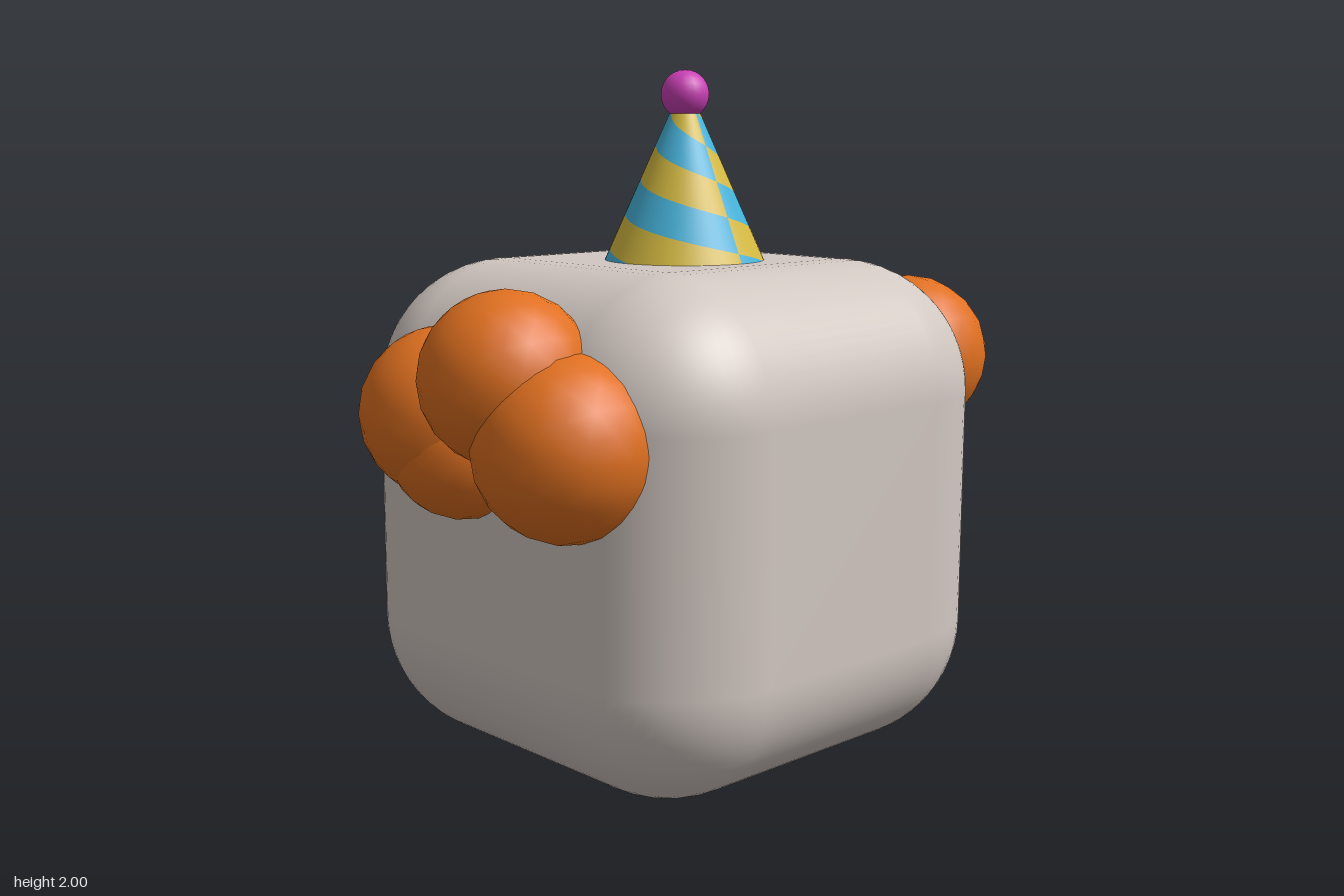
import * as THREE from 'three';
import { RoundedBoxGeometry } from 'three/addons/geometries/RoundedBoxGeometry.js';

const mat = (name, color, side = THREE.FrontSide) => {
  const m = new THREE.MeshStandardMaterial({ color, side });
  m.name = name;
  return m;
};

// Head block: centre, half size and corner radius
const C = new THREE.Vector3(0.12, 0.737, -0.02);
const HALF = 0.721, RAD = 0.38;

// Depth of the rounded block at an offset (a, b) from the centre of a face
function faceDepth(a, b) {
  const e = (v) => Math.max(0, Math.abs(v) - (HALF - RAD));
  return HALF - RAD + Math.sqrt(Math.max(0, RAD * RAD - e(a) ** 2 - e(b) ** 2));
}

// Lay a flat geometry (drawn in x, y) onto one face of the head
function paint(geo, face, lift = 0.005) {
  const p = geo.attributes.position;
  for (let i = 0; i < p.count; i++) {
    const u = p.getX(i), v = p.getY(i);
    if (face === 'face') p.setXYZ(i, C.x - faceDepth(v - C.y, u - C.z) - lift, v, u);
    if (face === 'side') p.setXYZ(i, -u, v, C.z - faceDepth(-u - C.x, v - C.y) - lift);
    if (face === 'under') p.setXYZ(i, u, C.y - faceDepth(u - C.x, v - C.z) - lift, v);
  }
  geo.computeVertexNormals();
  return geo;
}

// Ribbon of constant width along a short path of [u, v] points
function ribbon(points, width) {
  const curve = new THREE.CatmullRomCurve3(points.map(([u, v]) => new THREE.Vector3(u, v, 0)));
  const n = 16, geo = new THREE.PlaneGeometry(width, 1, 1, n), p = geo.attributes.position;
  for (let i = 0; i <= n; i++) {
    const c = curve.getPoint(1 - i / n), t = curve.getTangent(1 - i / n);
    const taper = i === 0 || i === n ? 0.4 : 1;
    for (let j = 0; j < 2; j++) {
      const w = (j - 0.5) * width * taper;
      p.setXYZ(i * 2 + j, c.x + t.y * w, c.y - t.x * w, 0);
    }
  }
  return geo;
}

export function createModel() {
  const group = new THREE.Group();
  const skin = mat('skin grey', 0xd2c8c2);
  const orange = mat('hair orange', 0xe07020);
  const red = mat('nose red', 0xdc1f2d);
  const black = mat('black', 0x141414, THREE.DoubleSide);
  const blue = mat('eye blue', 0x4382c4, THREE.DoubleSide);
  const mauve = mat('cheek mauve', 0xbb5a7e, THREE.DoubleSide);
  const cyan = mat('hat blue', 0x47b4dc, THREE.DoubleSide);
  const yellow = mat('hat yellow', 0xd6bb42, THREE.DoubleSide);
  const pink = mat('pompom pink', 0xcb40b6);

  const add = (name, geo, material, x = 0, y = 0, z = 0) => {
    const m = new THREE.Mesh(geo, material);
    m.name = name;
    m.position.set(x, y, z);
    group.add(m);
    return m;
  };

  // Head
  add('head', new RoundedBoxGeometry(HALF * 2, HALF * 2, HALF * 2, 8, RAD), skin, C.x, C.y, C.z);

  // Hair tufts on both sides of the head: x, y, z, radius
  const tufts = [
    [-0.01, 1.07, 0.71, 0.24], [0.05, 0.99, 0.7, 0.21], [0.28, 1.195, 0.73, 0.235], [0.46, 1.03, 0.68, 0.25],
    [0.44, 1.145, -0.72, 0.242], [0.18, 1.17, -0.78, 0.175], [0.07, 1.02, -0.78, 0.18], [0.0, 0.86, -0.79, 0.17],
  ];
  for (const [x, y, z, r] of tufts) add('hairTuft', new THREE.IcosahedronGeometry(r, 3), orange, x, y, z);

  // Nose
  add('nose', new THREE.SphereGeometry(0.19, 24, 16), red, -0.66, 0.76, -0.025);

  // Lips and open mouth
  const lips = new THREE.TorusGeometry(0.3, 0.055, 12, 40);
  lips.rotateY(Math.PI / 2).scale(1.08, 0.817, 1.03);
  add('lips', lips, red, -0.62, 0.29, -0.025);
  const mouth = new THREE.CircleGeometry(0.28, 32);
  mouth.rotateY(-Math.PI / 2).scale(1, 0.817, 1.03);
  add('mouth', mouth, black, -0.612, 0.29, -0.025);

  // Painted eyes, brows and cheeks, either side of the nose
  for (const s of [-1, 1]) {
    const z = -0.04 + s * 0.26;
    add('eyeDiamond', paint(new THREE.RingGeometry(0, 1, 4, 8).scale(0.1, 0.135, 1).translate(z, 1.05, 0), 'face'), blue);
    add('pupil', paint(new THREE.RingGeometry(0, 0.043, 16, 3).translate(z, 1.05, 0), 'face', 0.009), black);
    add('brow', paint(new THREE.PlaneGeometry(0.18, 0.022, 8, 1).translate(z - 0.03, 1.29, 0), 'face'), black);
    add('cheek', paint(new THREE.RingGeometry(0, 0.12, 28, 6).translate(-0.03 + s * 0.3, 0.73, 0), 'face'), mauve);
  }

  // Paint streaks on the side and underside
  const streak = (name, pts, w, m, face, lift) => add(name, paint(ribbon(pts, w), face, lift), m);
  streak('blueStreakTop', [[-0.38, 0.64], [-0.38, 0.71]], 0.028, blue, 'side');
  streak('blackStreak', [[-0.38, 0.41], [-0.38, 0.65]], 0.014, black, 'side', 0.008);
  streak('blueStreakBottom', [[-0.355, 0.24], [-0.375, 0.32], [-0.38, 0.43]], 0.03, blue, 'side');
  streak('mauveStreak', [[-0.25, 0.29], [-0.255, 0.48], [-0.25, 0.66]], 0.052, mauve, 'side');
  streak('underStreak', [[0.25, 0.145], [0.24, 0.06], [0.21, -0.18], [0.26, -0.32], [0.3, -0.48], [0.35, -0.6]], 0.035, mauve, 'under');

  // Party hat: spiral stripes cut exactly from a cone
  const X = 0.17, Z = -0.02, Y0 = 1.45, Y1 = 1.975, R = 0.235, N = 48, PITCH = 0.2;
  for (let k = -4; k <= 7; k++) {
    const pos = [], nor = [], idx = [];
    for (let i = 0; i <= N; i++) {
      const a = -1.5 * Math.PI + (i / N) * 2 * Math.PI;
      for (const e of [-0.25, 0.25]) {
        const raw = 1.51 + PITCH * (k / 2 + e - (1.5 * a) / (2 * Math.PI));
        const y = Math.min(Y1, Math.max(Y0, raw)), r = (R * (Y1 - y)) / (Y1 - Y0);
        pos.push(X + r * Math.sin(a), y, Z + r * Math.cos(a));
        nor.push(Math.sin(a) * 0.913, 0.408, Math.cos(a) * 0.913);
      }
      const b = i * 2;
      if (i < N) idx.push(b, b + 2, b + 3, b, b + 3, b + 1);
    }
    const geo = new THREE.BufferGeometry();
    geo.setAttribute('position', new THREE.Float32BufferAttribute(pos, 3));
    geo.setAttribute('normal', new THREE.Float32BufferAttribute(nor, 3));
    geo.setIndex(idx);
    add('hatStripe', geo, k % 2 === 0 ? yellow : cyan);
  }
  add('pompom', new THREE.SphereGeometry(0.07, 20, 14), pink, X, 1.93, Z);

  return group;
}
